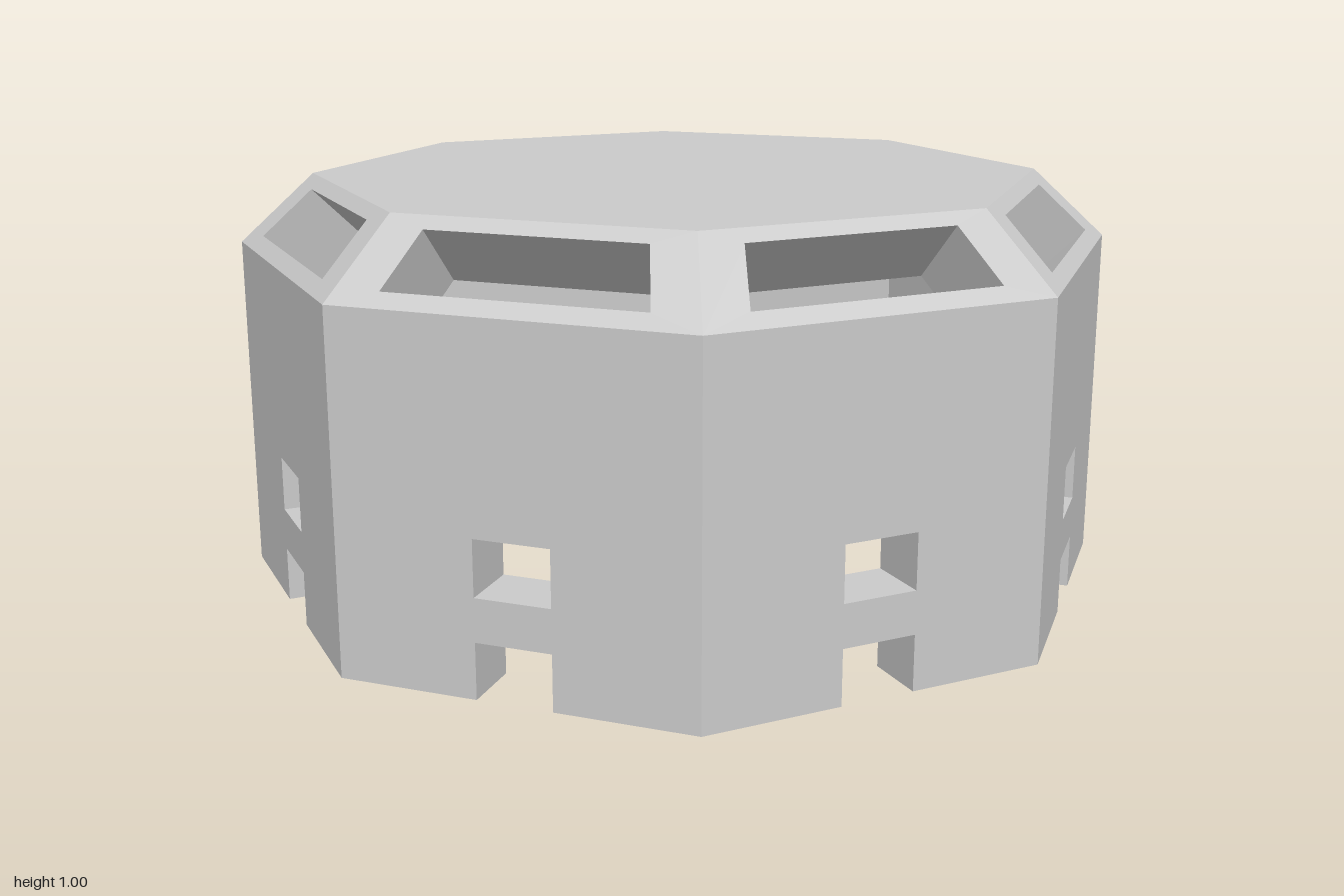
import * as THREE from 'three';

const SIDES = 8;
const T = Math.tan(Math.PI / SIDES); // half side length per unit of apothem
const EAVE = 0.83;                   // wall height, also apothem of the flat roof
const INNER = 0.856;                 // the cavity is the shell scaled by this
const R2 = Math.SQRT1_2;
const material = new THREE.MeshStandardMaterial({ color: 0xcccccc, flatShading: true });

const points = (list) => list.map(([x, y]) => new THREE.Vector2(x, y));

// Pierced panel: openings run straight through, outline corners are mitred
// toward the cavity, and the hidden mitre faces are left out.
function panelGeometry(outline, hole, depth, place) {
  const shape = new THREE.Shape(points(outline));
  shape.holes.push(new THREE.Path(points(hole)));
  const src = new THREE.ExtrudeGeometry(shape, { depth, bevelEnabled: false }).toNonIndexed
    ? new THREE.ExtrudeGeometry(shape, { depth, bevelEnabled: false })
    : null;
  const pos = src.attributes.position;
  const out = [];
  for (let i = 0; i < pos.count; i += 3) {
    const tri = [0, 1, 2].map((k) => new THREE.Vector3().fromBufferAttribute(pos, i + k));
    const corners = tri.every((p) => Math.abs(p.x) > 0.32);
    const spans = tri.some((p) => p.z < depth / 2) && tri.some((p) => p.z > depth / 2);
    if (corners && spans) continue;
    for (const p of tri) {
      const back = p.z < depth / 2;
      const mitred = back && Math.abs(p.x) > 0.32;
      const q = place(p.x, p.y, back && !mitred ? depth : 0);
      if (mitred) q.multiplyScalar(INNER);
      out.push(q.x, q.y, q.z);
    }
  }
  const geo = new THREE.BufferGeometry();
  geo.setAttribute('position', new THREE.Float32BufferAttribute(out, 3));
  geo.computeVertexNormals();
  return geo;
}

export function createModel() {
  const model = new THREE.Group();
  model.name = 'octagonalBunker';

  const add = (name, geo, angle = 0) => {
    const mesh = new THREE.Mesh(geo, material);
    mesh.name = name;
    mesh.rotation.y = angle;
    model.add(mesh);
    return mesh;
  };

  // Upright wall with a notch at the foot and a small square opening above it
  const w = 0.088;
  const wall = panelGeometry(
    [[-T, 0], [-w, 0], [-w, 0.13], [w, 0.13], [w, 0], [T, 0], [T, EAVE], [-T, EAVE]],
    [[-w, 0.23], [-w, 0.36], [w, 0.36], [w, 0.23]],
    1 - INNER,
    (x, y, d) => new THREE.Vector3(x, y, 1 - d)
  );

  // Sloping panel with a trapezoid window, leaning in at 45 degrees
  const slope = (1 - EAVE) / R2;
  const v0 = (0.86 - EAVE) / R2;
  const v1 = (0.973 - EAVE) / R2;
  const skylight = panelGeometry(
    [[-T, 0], [T, 0], [T * EAVE, slope], [-T * EAVE, slope]],
    [[-0.297, v0], [-0.253, v1], [0.253, v1], [0.297, v0]],
    (1 + EAVE) * (1 - INNER) * R2,
    (x, v, d) => new THREE.Vector3(x, EAVE + (v - d) * R2, 1 - (v + d) * R2)
  );

  for (let i = 0; i < SIDES; i++) {
    const angle = (i * Math.PI * 2) / SIDES;
    add('wall', wall, angle);
    add('windowPanel', skylight, angle);
  }

  // Flat roof and the ceiling beneath it
  const radius = EAVE / Math.cos(Math.PI / SIDES);
  const disc = (r, tilt) => new THREE.CircleGeometry(r, SIDES, Math.PI / SIDES).rotateX(tilt);
  add('roof', disc(radius, -Math.PI / 2)).position.y = 1;
  add('ceiling', disc(radius * INNER, Math.PI / 2)).position.y = INNER;

  return model;
}
